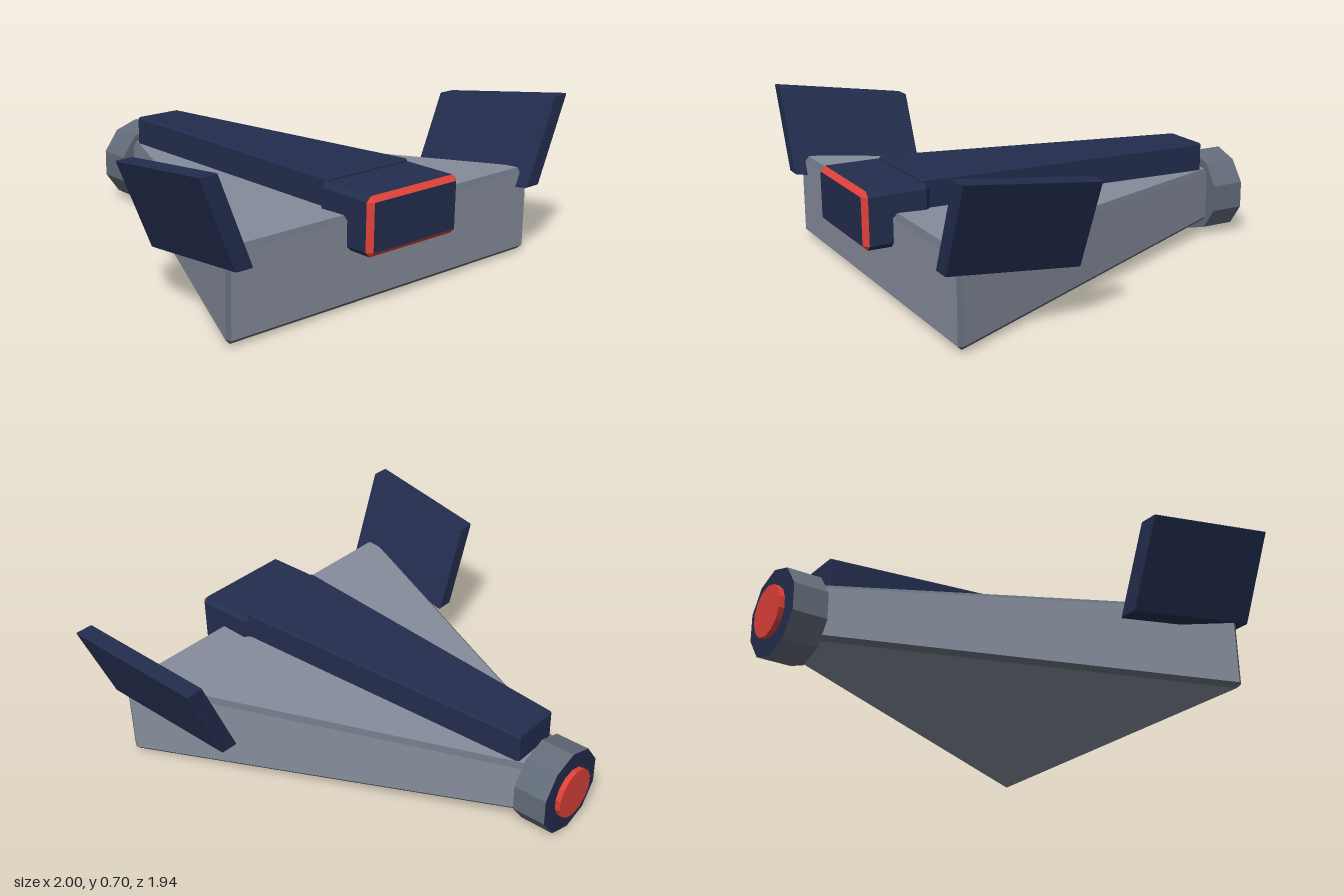
import * as THREE from 'three';

const colour = (name, hex) => {
  const m = new THREE.MeshStandardMaterial({ color: hex });
  m.name = name;
  return m;
};

// Chamfered box lofted between two rectangular ends {z, x, w, y0, y1}; w is the half width.
// pick(signs) chooses the material index: one sign set is a face, two an edge, three a corner.
function chamferedLoft(front, back, bevel, pick = () => 0) {
  const lerp = THREE.MathUtils.lerp;
  const point = (s, axis) => {
    const inset = (a) => (a === axis ? 0 : bevel);
    const z = s[2] > 0 ? front.z - inset(2) : back.z + inset(2);
    const t = (z - back.z) / (front.z - back.z);
    const at = (key) => lerp(back[key], front[key], t);
    return new THREE.Vector3(
      at('x') + s[0] * (at('w') - inset(0)),
      s[1] > 0 ? at('y1') - inset(1) : at('y0') + inset(1),
      z);
  };
  const centre = new THREE.Vector3((front.x + back.x) / 2,
    (front.y0 + front.y1 + back.y0 + back.y1) / 4, (front.z + back.z) / 2);
  const positions = [];
  const geometry = new THREE.BufferGeometry();
  const add = (pts, signs) => {
    const n = pts[1].clone().sub(pts[0]).cross(pts[2].clone().sub(pts[0]));
    if (n.dot(pts[0].clone().sub(centre)) < 0) pts.reverse();
    const start = positions.length / 3;
    for (let i = 1; i < pts.length - 1; i++)
      for (const p of [pts[0], pts[i], pts[i + 1]]) positions.push(p.x, p.y, p.z);
    geometry.addGroup(start, (pts.length - 2) * 3, pick(signs));
  };
  const signsOf = (...pairs) => {
    const s = [0, 0, 0];
    for (const [axis, v] of pairs) s[axis] = v;
    return s;
  };
  for (let a = 0; a < 3; a++) {
    const b = (a + 1) % 3, c = (a + 2) % 3;
    for (const sa of [-1, 1]) {
      // Main face
      add([[-1, -1], [1, -1], [1, 1], [-1, 1]].map(([sb, sc]) =>
        point(signsOf([a, sa], [b, sb], [c, sc]), a)), signsOf([a, sa]));
      // Edge chamfers
      for (const sb of [-1, 1]) {
        const lo = signsOf([a, sa], [b, sb], [c, -1]);
        const hi = signsOf([a, sa], [b, sb], [c, 1]);
        add([point(lo, a), point(lo, b), point(hi, b), point(hi, a)], signsOf([a, sa], [b, sb]));
      }
    }
  }
  // Corner triangles
  for (const x of [-1, 1]) for (const y of [-1, 1]) for (const z of [-1, 1]) {
    const s = [x, y, z];
    add([0, 1, 2].map((axis) => point(s, axis)), s);
  }
  geometry.setAttribute('position', new THREE.Float32BufferAttribute(positions, 3));
  geometry.computeVertexNormals();
  return geometry;
}

// Faceted cylinder lying along z, its first cap facing the rear
function disc(radius, z0, z1, sides) {
  return new THREE.CylinderGeometry(radius, radius, z1 - z0, sides)
    .toNonIndexed()
    .rotateX(-Math.PI / 2)
    .translate(0, 0.1925, (z0 + z1) / 2);
}

export function createModel() {
  const model = new THREE.Group();
  const hullGrey = colour('hull grey', 0x858c9b);
  const trimGrey = colour('trim grey', 0x636c79);
  const navy = colour('navy', 0x232d4e);
  const red = colour('red', 0xdf4139);

  const part = (name, geometry, material) => {
    geometry.computeVertexNormals();
    const mesh = new THREE.Mesh(geometry, material);
    mesh.name = name;
    model.add(mesh);
  };
  const count = (signs) => signs.filter((s) => s !== 0).length;

  // Wedge hull with darker chamfers
  part('hull', chamferedLoft(
    { z: 0.845, x: 0, w: 0.84, y0: 0.008, y1: 0.388 },
    { z: -0.84, x: 0, w: 0.1, y0: 0.072, y1: 0.318 },
    0.02, (s) => (count(s) > 1 ? 1 : 0)), [hullGrey, trimGrey]);

  // Tapering spine along the top
  part('spine', chamferedLoft(
    { z: 0.705, x: 0, w: 0.226, y0: 0.3, y1: 0.503 },
    { z: -0.76, x: 0, w: 0.116, y0: 0.28, y1: 0.45 },
    0.008), [navy]);

  // Front block with a red chamfer around its face
  part('frontBlock', chamferedLoft(
    { z: 0.97, x: 0, w: 0.248, y0: 0.243, y1: 0.489 },
    { z: 0.675, x: 0, w: 0.248, y0: 0.243, y1: 0.489 },
    0.022, (s) => (count(s) > 1 && s[2] > 0 ? 1 : 0)), [navy, red]);

  // Rear ring and glowing disc
  part('rearRing', disc(0.1925, -0.948, -0.793, 10), [trimGrey, navy, trimGrey]);
  part('rearDisc', disc(0.112, -0.972, -0.94, 14), red);

  // Outward leaning fins, sheared sideways with height
  for (const side of [1, -1]) {
    const lean = 0.415;
    const fin = chamferedLoft(
      { z: 0.9, x: side * 0.669, w: 0.041, y0: 0.315, y1: 0.7 },
      { z: 0.295, x: side * 0.644, w: 0.041, y0: 0.232, y1: 0.615 },
      0.004);
    fin.applyMatrix4(new THREE.Matrix4().set(
      1, side * lean, 0, 0,
      0, 1, 0, 0,
      0, 0, 1, 0,
      0, 0, 0, 1));
    part(side > 0 ? 'leftFin' : 'rightFin', fin, [navy]);
  }
  return model;
}
